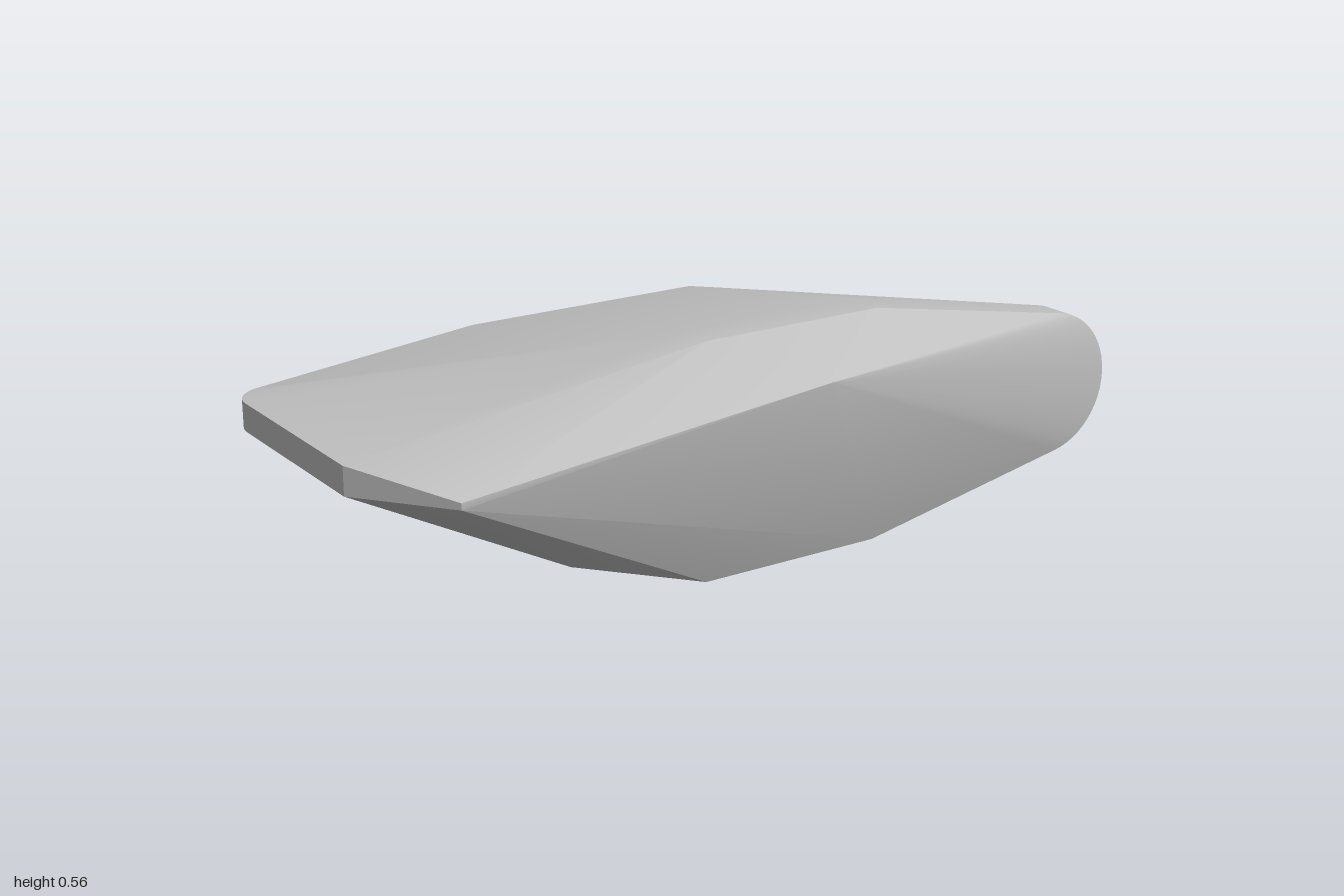
import * as THREE from 'three';
import { ConvexGeometry } from 'three/addons/geometries/ConvexGeometry.js';
import { toCreasedNormals } from 'three/addons/utils/BufferGeometryUtils.js';

export function createModel() {
  const group = new THREE.Group();
  group.name = 'facetedWedge';
  const stone = new THREE.MeshStandardMaterial({ color: 0xbfbfbf });
  stone.name = 'lightGrey';

  const points = [];
  const add = (x, y, z) => points.push(new THREE.Vector3(x, y, z));

  // flat top and bottom ridges
  for (const x of [-0.16, 0.3]) {
    for (const y of [0, 0.555]) {
      for (const z of [0.185, 0.27]) add(x, y, z);
    }
  }

  // upright back panel
  for (const x of [-0.34, 0.27]) {
    for (const y of [0.11, 0.447]) add(x, y, -0.44);
  }

  // front edge and lower shoulder
  add(0.05, 0.47, 0.44);
  add(-0.85, 0.385, 0.44);
  add(-0.85, 0.37, 0.44);
  add(-0.5, 0.11, 0.26);

  // thin tip with a rounded back corner
  for (const y of [0.365, 0.43]) {
    add(-1, y, 0.23);
    for (let i = 0; i <= 8; i++) {
      const a = (i / 8) * 1.4;
      add(-0.91 - 0.09 * Math.cos(a), y, -0.24 - 0.09 * Math.sin(a));
    }
  }

  // half-round nose
  for (const z of [0.185, 0.27]) {
    for (let i = 0; i <= 24; i++) {
      const a = (i / 24 - 0.5) * (Math.PI - 0.36);
      add(0.825 + 0.175 * Math.cos(a), 0.28 + 0.175 * Math.sin(a), z);
    }
  }

  const body = new THREE.Mesh(toCreasedNormals(new ConvexGeometry(points), 0.4), stone);
  body.name = 'body';
  group.add(body);
  return group;
}
